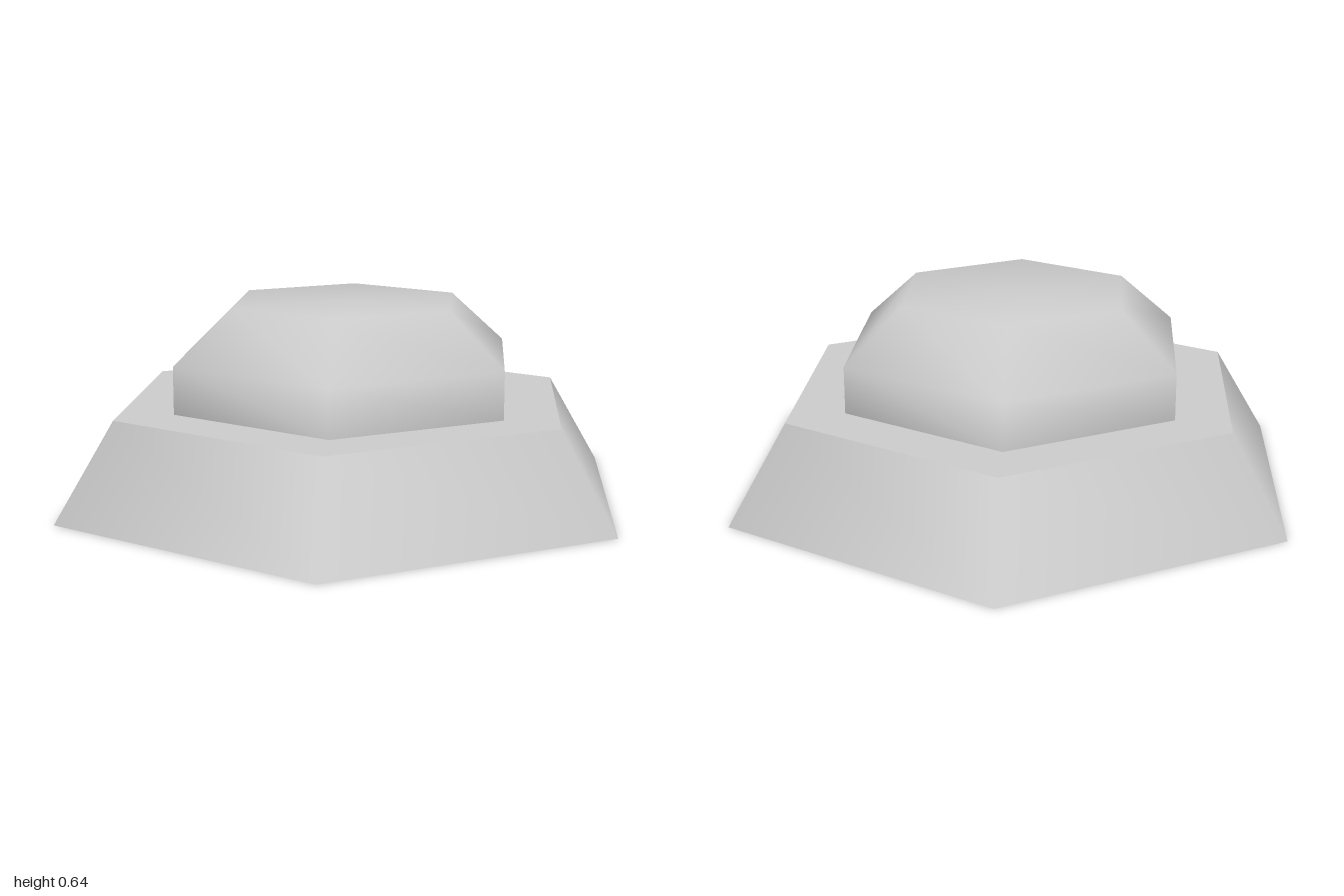
import * as THREE from 'three';
import { mergeGeometries } from 'three/addons/utils/BufferGeometryUtils.js';

const SIDES = 6;
const material = new THREE.MeshStandardMaterial({ color: 0xcccccc });

// Smooth six-sided lathe with corners on the x axis
const hexLathe = (profile) => new THREE.LatheGeometry(
  profile.map(([r, y]) => new THREE.Vector2(r, y)), SIDES, Math.PI / 2);

// Each profile segment becomes its own band, so the rims stay sharp
const hexBands = (profile) => mergeGeometries(
  profile.slice(1).map((p, i) => hexLathe([profile[i], p])));

function part(name, geometry) {
  const mesh = new THREE.Mesh(geometry, material);
  mesh.name = name;
  return mesh;
}

export function createModel() {
  const model = new THREE.Group();
  model.name = 'hexagonalButton';
  const rimY = 0.313, innerR = 0.6;

  // Sloped collar with a straight hexagonal bore
  model.add(part('baseCollar', hexBands(
    [[innerR, 0], [1, 0], [0.8, rimY], [innerR, rimY], [innerR, 0]])));

  // Softly shaded cap with a bevelled shoulder and flat top
  const cap = new THREE.Group();
  cap.name = 'cap';
  cap.add(part('capDome', hexLathe(
    [[innerR, rimY], [innerR, 0.467], [0.4, 0.64], [0, 0.64]])));
  // Flat underside closing the bore
  cap.add(part('capUnderside', hexLathe([[0, rimY], [innerR, rimY]])));
  model.add(cap);

  return model;
}
